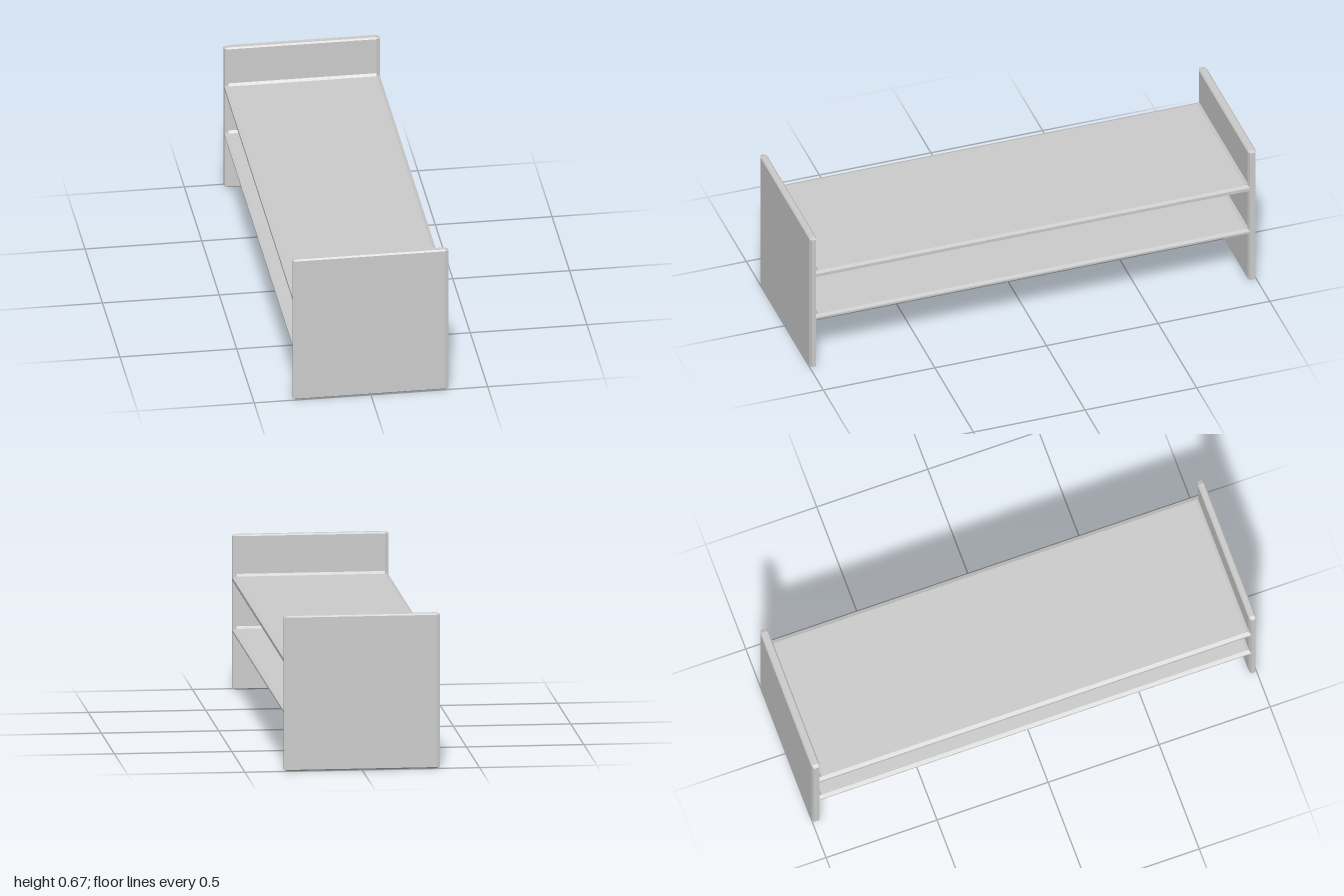
import * as THREE from 'three';
import { ConvexGeometry } from 'three/addons/geometries/ConvexGeometry.js';

const material = new THREE.MeshStandardMaterial({ color: 0xcccccc, flatShading: true });
const HALF_WIDTH = 0.333;
const BEVEL = [0.016, 0.006, 0.006];

// Board with bevelled edges: every face is inset by the bevel of its own axes
function board(name, y0, y1, z0, z1) {
  const half = [HALF_WIDTH, (y1 - y0) / 2, (z1 - z0) / 2];
  const points = [];
  for (const sx of [-1, 1]) for (const sy of [-1, 1]) for (const sz of [-1, 1]) {
    const sign = [sx, sy, sz];
    for (let face = 0; face < 3; face++) {
      points.push(new THREE.Vector3(
        ...half.map((h, i) => sign[i] * (i === face ? h : h - BEVEL[i]))));
    }
  }
  const mesh = new THREE.Mesh(new ConvexGeometry(points), material);
  mesh.name = name;
  mesh.position.set(0, (y0 + y1) / 2, (z0 + z1) / 2);
  return mesh;
}

// Small sloped strip in the corner between a shelf and an end panel
function fillet(y, z, dy, dz) {
  const r = 0.01, w = HALF_WIDTH - BEVEL[0], e = 0.004;
  const points = [];
  for (const x of [-w, w]) {
    points.push(
      new THREE.Vector3(x, y - dy * e, z - dz * e),
      new THREE.Vector3(x, y + dy * r, z - dz * e),
      new THREE.Vector3(x, y + dy * r, z),
      new THREE.Vector3(x, y, z + dz * r),
      new THREE.Vector3(x, y - dy * e, z + dz * r));
  }
  const mesh = new THREE.Mesh(new ConvexGeometry(points), material);
  mesh.name = 'jointFillet';
  return mesh;
}

export function createModel() {
  const group = new THREE.Group();
  group.name = 'bench';
  const frontInner = 0.969, backInner = -0.964;

  // Upright end panels
  group.add(board('frontPanel', 0, 0.667, frontInner, 1));
  group.add(board('backPanel', 0, 0.667, -1, backInner));

  // Seat and lower shelf, let into the panels
  for (const [name, y0, y1] of [['seat', 0.462, 0.489], ['lowerShelf', 0.243, 0.264]]) {
    group.add(board(name, y0, y1, backInner - 0.015, frontInner + 0.015));
    for (const [y, dy] of [[y0, -1], [y1, 1]]) {
      group.add(fillet(y, frontInner, dy, -1), fillet(y, backInner, dy, 1));
    }
  }
  return group;
}
